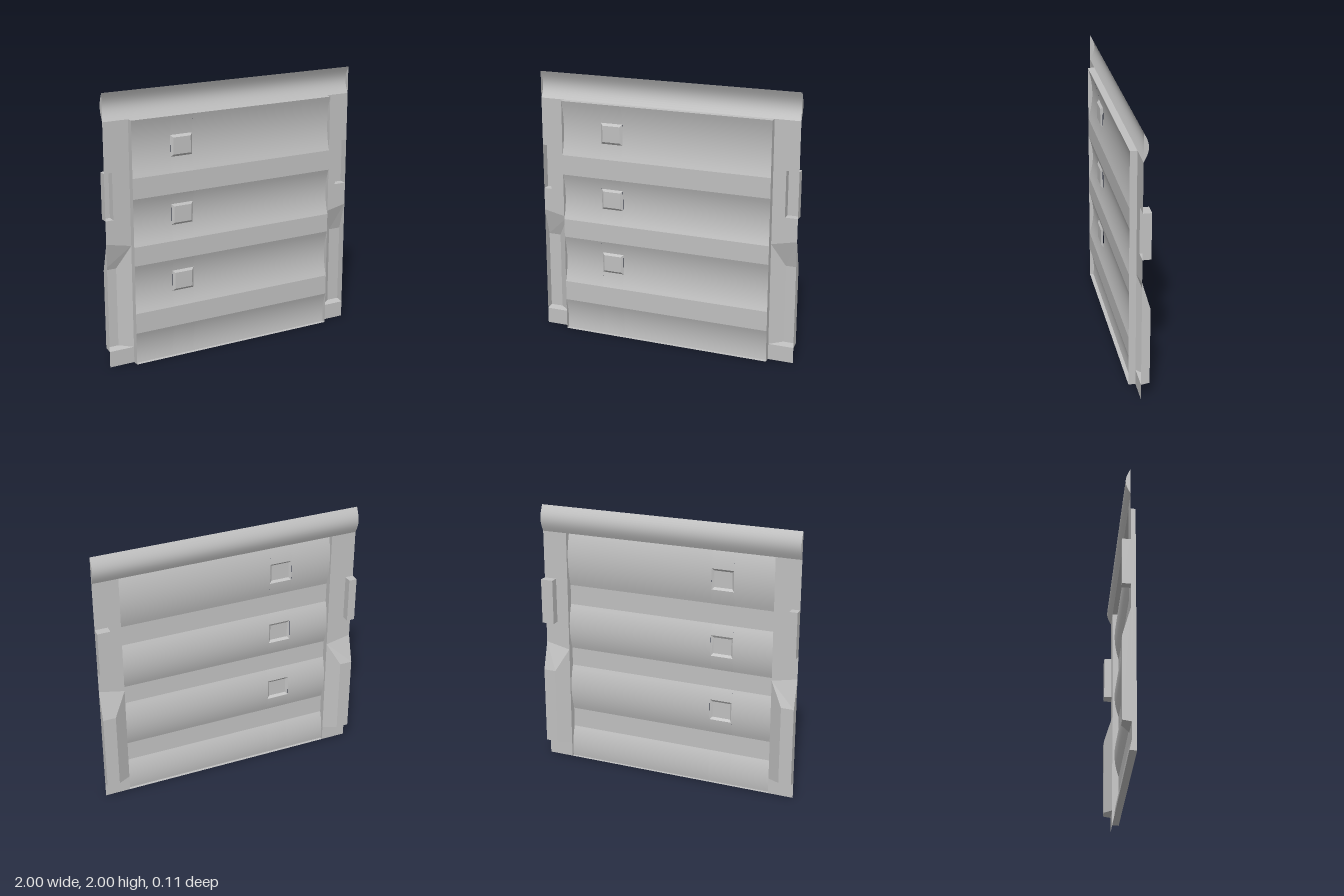
import * as THREE from 'three';
import { mergeGeometries } from 'three/addons/utils/BufferGeometryUtils.js';

const SIDE = 0.81, TOP = 1.8, FLANGE = 0.005, FRONT = 0.055, BACK = -0.055;

// Smooth ruled surface spanning x0..x1 along a profile of [y, z] points (top to bottom)
function ruled(x0, x1, profile) {
  const pos = [], idx = [];
  profile.forEach(([y, z], i) => {
    pos.push(x0, y, z, x1, y, z);
    if (i) {
      const a = 2 * (i - 1);
      idx.push(a, a + 2, a + 3, a, a + 3, a + 1);
    }
  });
  const g = new THREE.BufferGeometry();
  g.setAttribute('position', new THREE.Float32BufferAttribute(pos, 3));
  g.setIndex(idx);
  g.computeVertexNormals();
  return g.toNonIndexed();
}

// Flat polygon fan from corner points, anticlockwise seen from the front
function poly(...pts) {
  const pos = [];
  for (let i = 1; i < pts.length - 1; i++) pos.push(...pts[0], ...pts[i], ...pts[i + 1]);
  const g = new THREE.BufferGeometry();
  g.setAttribute('position', new THREE.Float32BufferAttribute(pos, 3));
  g.computeVertexNormals();
  return g;
}

// Corrugation: shallow concave channels between flat crests
const channels = [[1.8, 1.39], [1.24, 0.89], [0.75, 0.39], [0.24, -0.11]];
const crests = [[1.39, 1.24], [0.89, 0.75], [0.39, 0.24]];
function depthAt(y) {
  const c = channels.find(([a, b]) => y <= a && y >= b);
  if (!c) return FRONT;
  const t = (2 * (c[0] - y)) / (c[0] - c[1]) - 1;
  return FRONT - 0.033 * (1 - t * t);
}
function corrugated(x0, x1, top, bottom) {
  const out = [];
  for (const [a, b] of [...channels, ...crests]) {
    const hi = Math.min(a, top), lo = Math.max(b, bottom);
    if (hi - lo < 0.001) continue;
    const profile = [];
    for (let i = 0; i <= 12; i++) {
      const y = hi + ((lo - hi) * i) / 12;
      profile.push([y, depthAt(y)]);
    }
    out.push(ruled(x0, x1, profile));
  }
  return out;
}

// Raised square boss with bevelled sides
function boss(xa, xb, cy) {
  const h = 0.078, b = 0.017, zf = 0.042;
  const o = [[xa, cy - h], [xb, cy - h], [xb, cy + h], [xa, cy + h]].map(([x, y]) => [x, y, depthAt(y)]);
  const n = [[xa + b, cy - h + b], [xb - b, cy - h + b], [xb - b, cy + h - b], [xa + b, cy + h - b]].map(([x, y]) => [x, y, zf]);
  const faces = [poly(...n)];
  for (let i = 0; i < 4; i++) {
    const j = (i + 1) % 4;
    faces.push(poly(o[i], o[j], n[j], n[i]));
  }
  return faces;
}

// Side flange with a tapered lower pocket and a box pocket, both pressed backwards
function flange(s, boxWidth) {
  const P = (x, y, z = FLANGE) => [s * x, y, z];
  const Q = (...p) => poly(...(s > 0 ? p : p.reverse()));
  const xi = 0.905, xb = 1 - boxWidth, y0 = 1.1, y1 = 1.44;
  const plate = [
    Q(P(SIDE, 0), P(1, 0), P(1, 0.12), P(SIDE, 0.12)),
    Q(P(SIDE, 0.89), P(1, 0.93), P(1, y0), P(SIDE, y0)),
    Q(P(SIDE, y0), P(xb, y0), P(xb, y1), P(SIDE, y1)),
    Q(P(SIDE, y1), P(1, y1), P(1, TOP), P(SIDE, TOP)),
  ];
  const rib = [
    Q(P(xi, 0.13, BACK), P(1, 0.13, BACK), P(1, 0.72, BACK), P(xi, 0.72, BACK)),
    Q(P(SIDE, 0.12), P(xi, 0.13, BACK), P(xi, 0.72, BACK), P(SIDE, 0.89)),
    Q(P(xi, 0.72, BACK), P(1, 0.72, BACK), P(1, 0.93), P(SIDE, 0.89)),
    Q(P(SIDE, 0.12), P(1, 0.12), P(1, 0.13, BACK), P(xi, 0.13, BACK)),
    Q(P(1, 0.12), P(1, 0.93), P(1, 0.72, BACK), P(1, 0.13, BACK)),
  ];
  const box = [
    Q(P(xb, y0, BACK), P(1, y0, BACK), P(1, y1, BACK), P(xb, y1, BACK)),
    Q(P(xb, y0), P(xb, y0, BACK), P(xb, y1, BACK), P(xb, y1)),
    Q(P(1, y0), P(1, y1), P(1, y1, BACK), P(1, y0, BACK)),
    Q(P(xb, y0), P(1, y0), P(1, y0, BACK), P(xb, y0, BACK)),
    Q(P(xb, y1), P(xb, y1, BACK), P(1, y1, BACK), P(1, y1)),
  ];
  return { plate, rib, box };
}

export function createModel() {
  const model = new THREE.Group();
  model.name = 'corrugatedPanel';
  const steel = new THREE.MeshStandardMaterial({ color: 0xc0c0c0, side: THREE.DoubleSide });
  steel.name = 'grey steel';
  const add = (name, parts) => {
    const clean = parts.map((g) => (g.index ? g.toNonIndexed() : g));
    const m = new THREE.Mesh(mergeGeometries(clean), steel);
    m.name = name;
    model.add(m);
  };

  // Corrugated sheet, left open where the bosses sit
  const xa = -0.503, xb = -0.333, rows = [1.58, 1.08, 0.58];
  const sheet = [...corrugated(-SIDE, xa, TOP, 0), ...corrugated(xb, SIDE, TOP, 0)];
  let top = TOP;
  for (const cy of rows) {
    sheet.push(...corrugated(xa, xb, top, cy + 0.078));
    top = cy - 0.078;
  }
  sheet.push(...corrugated(xa, xb, top, 0));
  add('corrugatedSheet', sheet);
  rows.forEach((cy, i) => add('boss' + (i + 1), boss(xa, xb, cy)));

  // Rim walls around the sheet
  const S = SIDE, F = FRONT, B = FLANGE;
  add('rim', [
    poly([S, 0, F], [S, 0, B], [S, TOP, B], [S, TOP, F]),
    poly([-S, 0, B], [-S, 0, F], [-S, TOP, F], [-S, TOP, B]),
    poly([-S, TOP, F], [S, TOP, F], [S, TOP, B], [-S, TOP, B]),
    poly([-S, 0, B], [S, 0, B], [S, 0, F], [-S, 0, F]),
  ]);

  // Side flanges
  for (const [s, side, w] of [[1, 'left', 0.095], [-1, 'right', 0.06]]) {
    const f = flange(s, w);
    add(side + 'Flange', f.plate);
    add(side + 'LowerRib', f.rib);
    add(side + 'BoxPocket', f.box);
  }

  // Rolled top edge, closed at both ends
  const roll = [];
  for (let i = 0; i <= 14; i++) {
    const t = i / 14;
    roll.push([2 - 0.2 * t, FLANGE - 0.034 * Math.sin(Math.PI * t)]);
  }
  const cap = (x) => poly(...roll.map(([y, z]) => [x, y, z]));
  const flip = poly(...roll.map(([y, z]) => [-1, y, z]).reverse());
  add('topRoll', [ruled(-1, 1, roll)]);
  add('rollEnds', [cap(1), flip]);
  return model;
}
